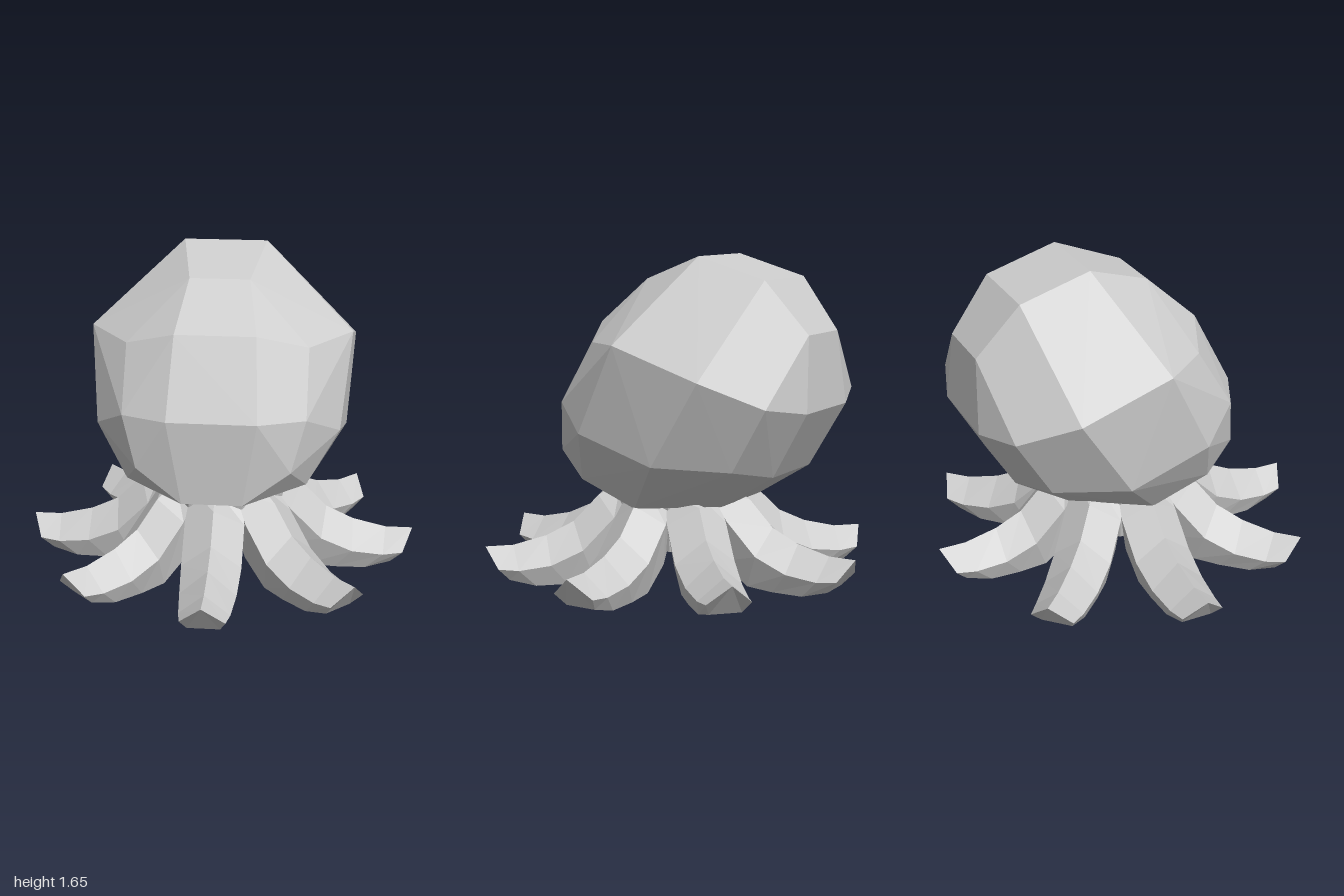
import * as THREE from 'three';
import { ConvexGeometry } from 'three/addons/geometries/ConvexGeometry.js';

const material = new THREE.MeshStandardMaterial({ color: 0xcccccc, flatShading: true });

// Faceted, backward-leaning head: hull of mirrored corner points
function headGeometry() {
  const half = [
    [0.21, 1.65, -0.24], [0.15, 1.53, 0.09], [0.2, 1.31, 0.33], [0.22, 0.93, 0.525],
    [0.15, 0.505, 0.51], [0.15, 0.455, 0.36], [0.42, 0.415, 0], [0.2, 0.425, -0.37],
    [0.2, 0.6, -0.65], [0.22, 0.925, -0.835], [0.16, 1.29, -0.81], [0.21, 1.545, -0.6],
    [0.66, 1.245, -0.03], [0.675, 1.1, -0.5], [0.48, 0.97, -0.75], [0.45, 0.655, -0.56],
    [0.64, 0.68, -0.23], [0.61, 0.8, 0.2], [0.38, 0.665, 0.46], [0.45, 0.92, 0.41],
    [0.45, 1.23, 0.22], [0.45, 0.54, 0.29],
  ];
  const points = half.flatMap(([x, y, z]) => [new THREE.Vector3(x, y, z), new THREE.Vector3(-x, y, z)]);
  return new ConvexGeometry(points);
}

// Tentacle along +x, lofted from the tip to the root: ridge, sides, feet and a groove below
function tentacleGeometry() {
  // ridge x,y | side x,y,halfWidth | foot x,y,halfWidth | groove depth
  const stations = [
    [1.0, 0.195, 0.95, 0.1, 0.11, 0.89, 0.035, 0.08, 0],
    [0.86, 0.195, 0.85, 0.09, 0.125, 0.76, 0, 0.095, 0.035],
    [0.69, 0.235, 0.69, 0.11, 0.14, 0.6, 0, 0.1, 0.04],
    [0.55, 0.3, 0.53, 0.18, 0.15, 0.46, 0.01, 0.1, 0.04],
    [0.42, 0.43, 0.37, 0.34, 0.15, 0.31, 0.12, 0.1, 0.03],
    [0.3, 0.5, 0.26, 0.48, 0.13, 0.15, 0.28, 0.06, 0],
  ];
  const rings = stations.map(([rx, ry, sx, sy, sw, fx, fy, fw, g]) => [
    [rx, ry, 0], [sx, sy, sw], [fx, fy, fw], [fx, fy + g, fw * 0.7],
    [fx, fy + g, -fw * 0.7], [fx, fy, -fw], [sx, sy, -sw],
  ]);
  const pos = [];
  const tri = (...corners) => corners.forEach((p) => pos.push(...p));
  for (let i = 0; i < rings.length - 1; i++) {
    for (let j = 0; j < 7; j++) {
      const k = (j + 1) % 7;
      const a = rings[i][j], b = rings[i][k], c = rings[i + 1][k], d = rings[i + 1][j];
      tri(a, d, c);
      tri(a, c, b);
    }
  }
  const tip = rings[0], root = rings[rings.length - 1];
  for (let j = 1; j < 6; j++) {
    tri(tip[0], tip[j], tip[j + 1]);
    tri(root[0], root[j + 1], root[j]);
  }
  const geometry = new THREE.BufferGeometry();
  geometry.setAttribute('position', new THREE.Float32BufferAttribute(pos, 3));
  geometry.computeVertexNormals();
  return geometry;
}

export function createModel() {
  const model = new THREE.Group();
  const add = (name, geometry) => {
    const mesh = new THREE.Mesh(geometry, material);
    mesh.name = name;
    model.add(mesh);
    return mesh;
  };

  add('head', headGeometry());

  // Eight-sided core joining the tentacles under the head
  const core = add('underside', new THREE.CylinderGeometry(0.36, 0.3, 0.26, 8));
  core.position.y = 0.31;
  core.rotation.y = Math.PI / 8;

  // Eight evenly spread tentacles
  const tentacle = tentacleGeometry();
  for (let i = 0; i < 8; i++) add(`tentacle${i + 1}`, tentacle).rotation.y = (i * Math.PI) / 4;

  return model;
}
